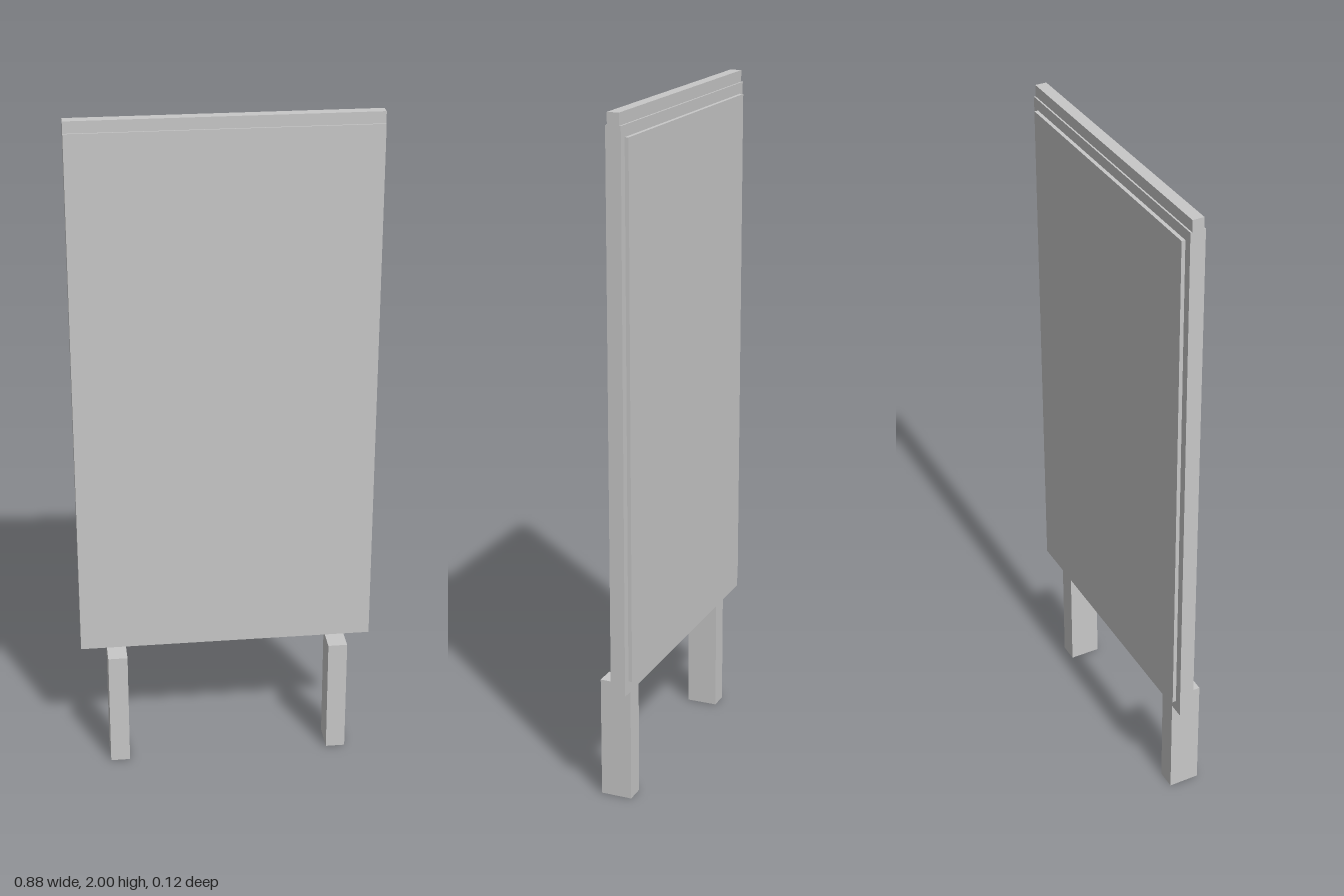
import * as THREE from 'three';

export function createModel() {
  const group = new THREE.Group();
  group.name = 'standingBoard';
  const grey = new THREE.MeshStandardMaterial({ color: 0xc8c8c8 });
  grey.name = 'grey';

  // Adds a box given by its extents on each axis
  function addBox(name, [x0, x1], [y0, y1], [z0, z1]) {
    const mesh = new THREE.Mesh(new THREE.BoxGeometry(x1 - x0, y1 - y0, z1 - z0), grey);
    mesh.position.set((x0 + x1) / 2, (y0 + y1) / 2, (z0 + z1) / 2);
    mesh.name = name;
    group.add(mesh);
  }

  // Main board, narrower top rail and raised back plate
  addBox('board', [-0.442, 0.442], [0.363, 1.966], [-0.05, -0.006]);
  addBox('topRail', [-0.442, 0.442], [1.966, 2], [-0.045, -0.011]);
  addBox('backPlate', [-0.418, 0.418], [0.4, 1.934], [-0.061, -0.05]);

  // Two legs reaching forward of the board
  for (const [name, side] of [['leftLeg', 1], ['rightLeg', -1]]) {
    const x = side * 0.335;
    addBox(name, [x - 0.029, x + 0.029], [0, 0.362], [-0.032, 0.061]);
  }
  return group;
}
